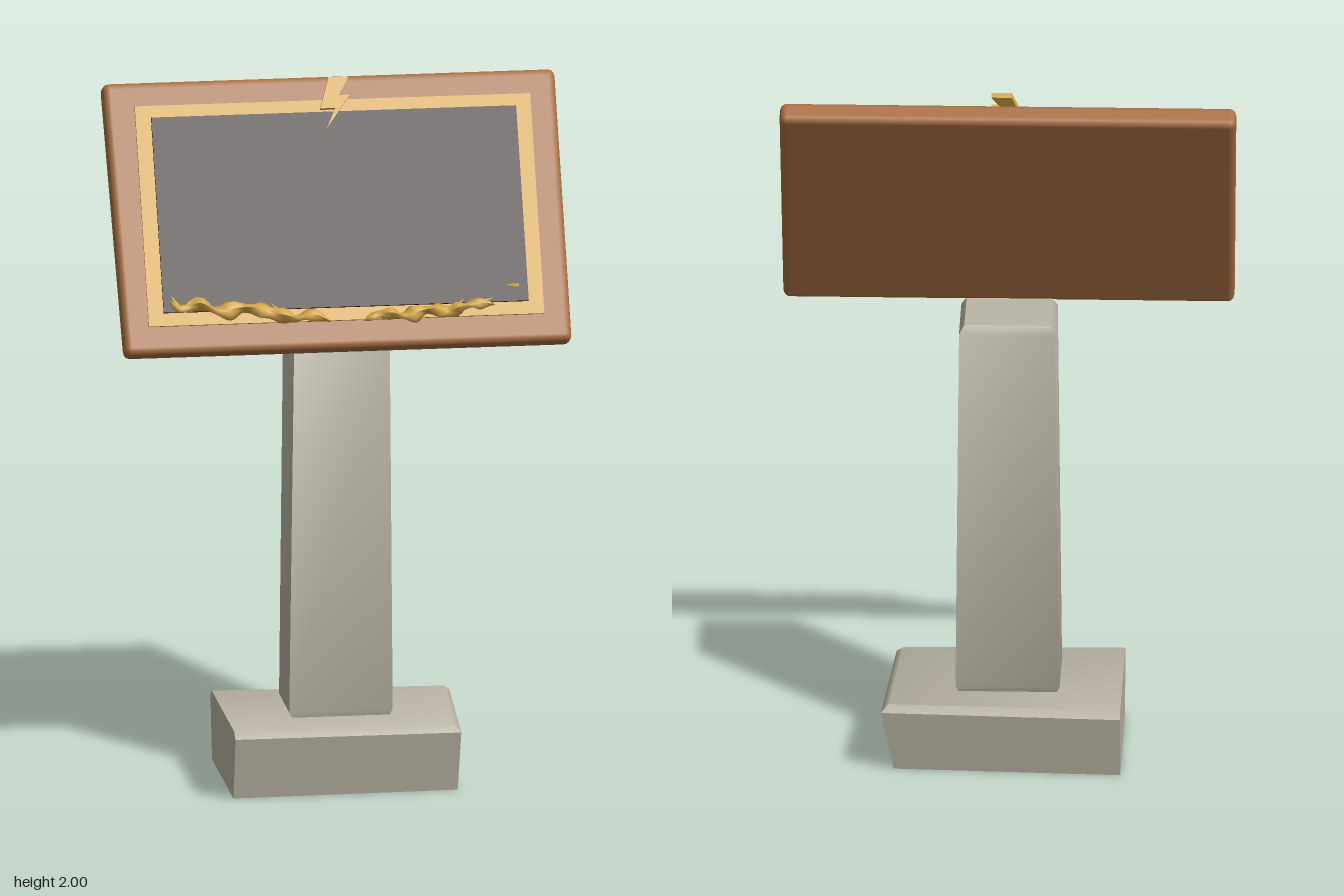
import * as THREE from 'three';
import { toCreasedNormals } from 'three/addons/utils/BufferGeometryUtils.js';
import { RoundedBoxGeometry } from 'three/addons/geometries/RoundedBoxGeometry.js';

const material = (name, color) => {
  const m = new THREE.MeshStandardMaterial({ color });
  m.name = name;
  return m;
};

// Closed solid from four-cornered rings stacked upward
function loft(rings) {
  const pos = rings.flat(2), index = [];
  for (let i = 0; i < rings.length - 1; i++) {
    for (let j = 0; j < 4; j++) {
      const k = (j + 1) % 4, a = i * 4 + j, b = i * 4 + k;
      index.push(a, b, b + 4, a, b + 4, a + 4);
    }
  }
  const t = (rings.length - 1) * 4;
  index.push(t, t + 1, t + 2, t, t + 2, t + 3, 0, 2, 1, 0, 3, 2);
  const g = new THREE.BufferGeometry();
  g.setAttribute('position', new THREE.Float32BufferAttribute(pos, 3));
  g.setIndex(index);
  return toCreasedNormals(g, 0.9);
}

// Ring corners: front left, back left, back right, front right
const ring = (y, x0, x1, z0, z1) => [[x1, y, z1], [x1, y, z0], [x0, y, z0], [x0, y, z1]];

function rectangle(T, w, h) {
  return new T([[-w, -h], [w, -h], [w, h], [-w, h]].map(([x, y]) => new THREE.Vector2(x, y)));
}

// Knotted strand: a tube whose radius swells and tapers along its length
function strand(points, radius) {
  const curve = new THREE.CatmullRomCurve3(points.map((p) => new THREE.Vector3(...p)));
  const segs = 48, sides = 7;
  const g = new THREE.TubeGeometry(curve, segs, 1, sides, false);
  const p = g.attributes.position, v = new THREE.Vector3();
  for (let i = 0; i <= segs; i++) {
    const t = i / segs, c = curve.getPointAt(t);
    const end = Math.pow(Math.sin(Math.PI * Math.min(1, Math.max(0, t))), 0.4);
    for (let j = 0; j <= sides; j++) {
      const n = i * (sides + 1) + j, a = (j % sides) / sides * Math.PI * 2;
      const r = radius * end * (0.8 + 0.25 * Math.sin(t * 37) + 0.3 * Math.cos(2 * a + t * 25));
      v.fromBufferAttribute(p, n).sub(c).multiplyScalar(r).add(c);
      p.setXYZ(n, v.x, v.y, v.z);
    }
  }
  g.computeVertexNormals();
  return g;
}

export function createModel() {
  const stone = material('stone', 0xbab5a6);
  const wood = material('wood', 0xa86f42);
  const gold = material('gold', 0xd6a848);
  const dark = material('darkPanel', 0x2a0d0d);

  const model = new THREE.Group();
  model.name = 'signStand';
  const add = (parent, name, geometry, mat) => {
    const mesh = new THREE.Mesh(geometry, mat);
    mesh.name = name;
    parent.add(mesh);
    return mesh;
  };

  // Roughly cut foot, wider at the top
  add(model, 'base', loft([
    [[0.315, 0, 0.2], [0.315, 0, -0.2], [-0.32, 0, -0.23], [-0.32, 0, 0.215]],
    [[0.32, 0.175, 0.24], [0.35, 0.18, -0.23], [-0.32, 0.18, -0.263], [-0.32, 0.18, 0.257]],
    [[0.3, 0.197, 0.215], [0.33, 0.197, -0.205], [-0.32, 0.197, -0.235], [-0.32, 0.197, 0.23]],
  ]), stone);

  // Pillar with softened ends
  add(model, 'pillar', loft([
    ring(0.19, -0.135, 0.135, -0.1, 0.095),
    ring(0.215, -0.147, 0.145, -0.11, 0.102),
    ring(1.28, -0.135, 0.135, -0.115, 0.115),
    ring(1.303, -0.12, 0.12, -0.1, 0.1),
  ]), stone);

  // Leaning board; its details share the tilted frame
  const board = new THREE.Group();
  board.name = 'tiltedBoard';
  board.position.set(0, 1.626, 0.018);
  board.rotation.x = -0.487;
  model.add(board);

  const slab = new RoundedBoxGeometry(1.27, 0.785, 0.068, 2, 0.02);
  const p = slab.attributes.position;
  for (let i = 0; i < p.count; i++) {
    if (p.getX(i) < 0) p.setX(i, p.getX(i) - p.getY(i) * 0.02);
  }
  add(board, 'woodenBoard', slab, wood);

  // Gold border and dark panel float just off the board
  const border = rectangle(THREE.Shape, 0.558, 0.317);
  border.holes.push(rectangle(THREE.Path, 0.505, 0.272));
  add(board, 'goldBorder', new THREE.ExtrudeGeometry(border, { depth: 0.008, bevelEnabled: false }), gold)
    .position.z = 0.046;
  add(board, 'darkPanel', new THREE.BoxGeometry(1.03, 0.562, 0.008), dark).position.z = 0.06;

  // Zigzag ornament at the top
  const bolt = new THREE.Shape([
    [-0.012, 0.374], [-0.04, 0.285], [0.002, 0.285], [-0.027, 0.225],
    [0.045, 0.322], [0.014, 0.322], [0.045, 0.374],
  ].map(([x, y]) => new THREE.Vector2(x, y)));
  add(board, 'zigzagOrnament', new THREE.ExtrudeGeometry(bolt, { depth: 0.018, bevelEnabled: false }), gold)
    .position.z = 0.07;

  // Gnarled strands along the lower edge
  add(board, 'rightStrand', strand([
    [-0.5, -0.25, 0.072], [-0.47, -0.275, 0.076], [-0.42, -0.262, 0.07], [-0.36, -0.285, 0.076],
    [-0.29, -0.278, 0.07], [-0.22, -0.293, 0.078], [-0.15, -0.312, 0.072], [-0.1, -0.305, 0.08],
    [-0.045, -0.325, 0.07],
  ], 0.022), gold);
  add(board, 'leftStrand', strand([
    [0.045, -0.325, 0.07], [0.1, -0.308, 0.078], [0.16, -0.315, 0.072], [0.23, -0.302, 0.076],
    [0.29, -0.305, 0.07], [0.36, -0.287, 0.072], [0.42, -0.29, 0.068],
  ], 0.02), gold);

  // Small thorns and a loose chip
  const thorns = [[-0.485, -0.25, 0.5], [-0.43, -0.25, -0.9], [-0.3, -0.268, 0.9], [-0.2, -0.28, 0.8],
    [0.32, -0.285, -0.7], [0.4, -0.278, -1.2], [0.47, -0.238, 1.4]];
  thorns.forEach(([x, y, turn]) => {
    const thorn = add(board, 'thorn', new THREE.ConeGeometry(0.008, 0.036, 5), gold);
    thorn.position.set(x, y, 0.074);
    thorn.rotation.z = turn;
  });

  return model;
}
